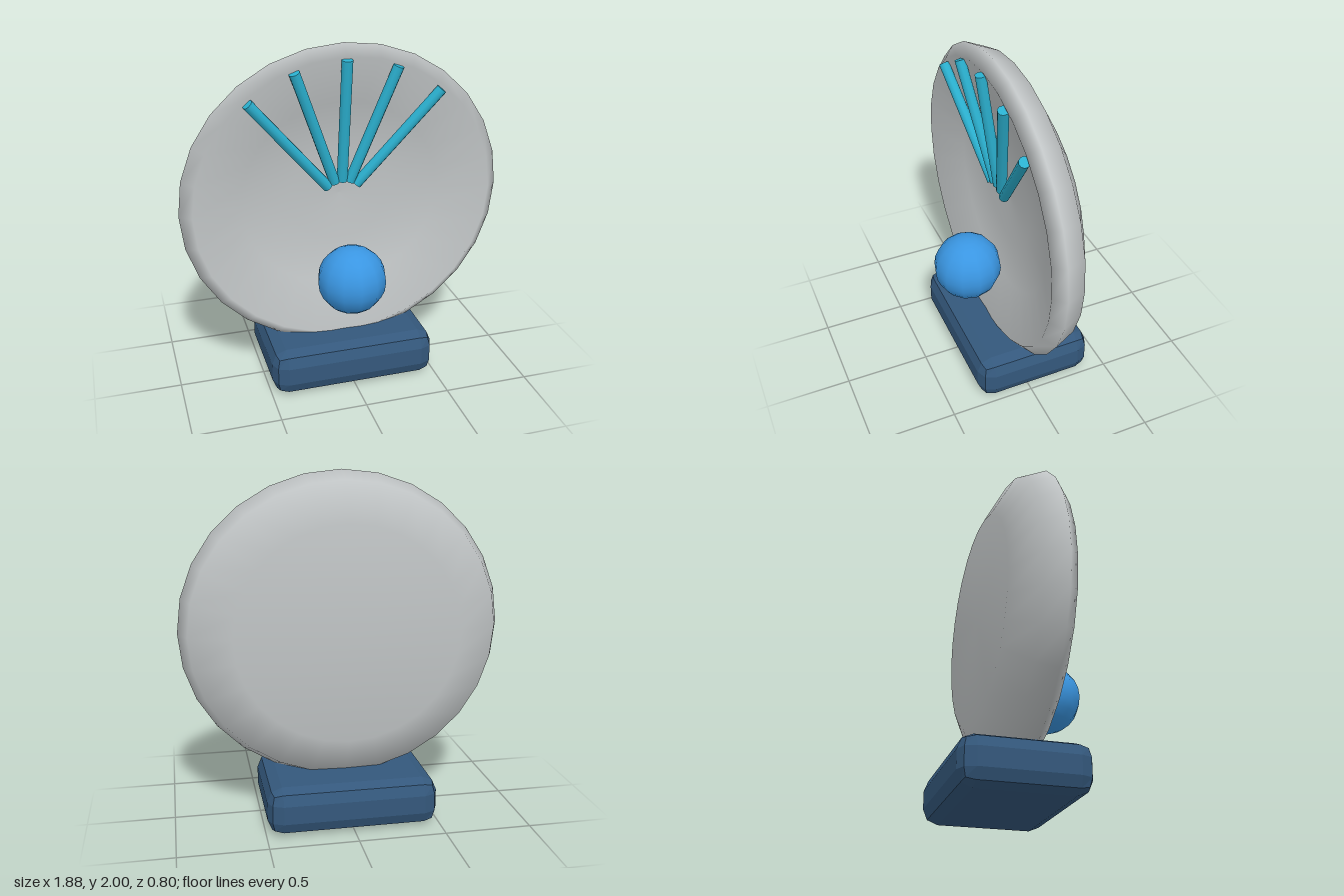
import * as THREE from 'three';
import { RoundedBoxGeometry } from 'three/addons/geometries/RoundedBoxGeometry.js';

const material = (name, color, flatShading = false) => {
  const m = new THREE.MeshStandardMaterial({ color, flatShading });
  m.name = name;
  return m;
};

export function createModel() {
  const model = new THREE.Group();
  model.name = 'shellOrnament';

  const shellGrey = material('shell grey', 0xc0c4c5);
  const baseBlue = material('base navy', 0x34587c, true);
  const pearlBlue = material('pearl blue', 0x3a96e2);
  const ribTeal = material('rib teal', 0x2bb0cf);

  const add = (name, geometry, mat, x, y, z) => {
    const mesh = new THREE.Mesh(geometry, mat);
    mesh.name = name;
    mesh.position.set(x, y, z);
    model.add(mesh);
    return mesh;
  };

  // Chamfered foot
  add('base', new RoundedBoxGeometry(0.98, 0.275, 0.71, 1, 0.085), baseBlue, 0, 0.1375, -0.045);

  // Hollow dish: closed profile from back centre, round the rim, into the bowl
  const profile = [
    [0, -0.21], [0.62, -0.21], [0.85, -0.09], [0.9, 0.03],
    [0.835, 0.09], [0.56, -0.02], [0.28, -0.06], [0, -0.07],
  ].map(([r, z]) => new THREE.Vector2(r, z));
  const dish = new THREE.LatheGeometry(profile, 28);
  dish.rotateX(Math.PI / 2);
  dish.scale(0.94 / 0.9, 1, 1);
  add('shell', dish, shellGrey, 0, 1.1, 0);

  // Pearl
  add('pearl', new THREE.SphereGeometry(0.2, 12, 12), pearlBlue, 0, 0.665, 0.2);

  // Five ribs fanning out, leaning forward toward the rim
  const up = new THREE.Vector3(0, 1, 0);
  for (let i = -2; i <= 2; i++) {
    const a = THREE.MathUtils.degToRad(i * 20);
    const at = (r, z) => new THREE.Vector3(Math.sin(a) * r, 1.07 + Math.cos(a) * r, z);
    const start = at(0.13, 0), end = at(0.85, 0.1);
    const dir = end.clone().sub(start);
    const mid = start.clone().add(end).multiplyScalar(0.5);
    const rib = add('rib', new THREE.CylinderGeometry(0.031, 0.031, dir.length(), 10), ribTeal, mid.x, mid.y, mid.z);
    rib.quaternion.setFromUnitVectors(up, dir.normalize());
  }

  return model;
}
